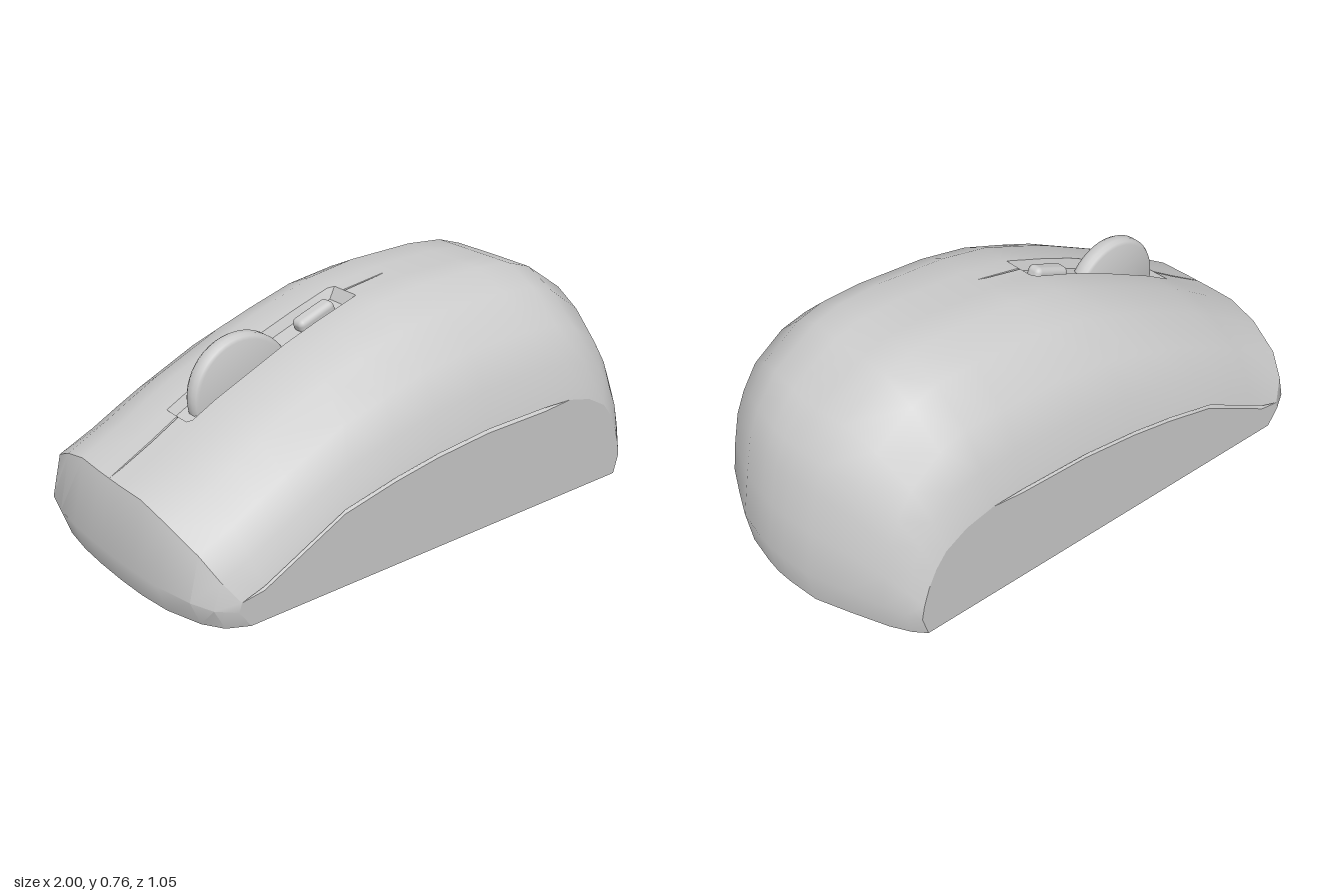
import * as THREE from 'three';
import { toCreasedNormals } from 'three/addons/utils/BufferGeometryUtils.js';
import { RoundedBoxGeometry } from 'three/addons/geometries/RoundedBoxGeometry.js';

const HALF = 0.525;
const material = new THREE.MeshStandardMaterial({ color: 0xcccccc });
const thin = new THREE.MeshStandardMaterial({ color: 0xcccccc, side: THREE.DoubleSide });

// Lengthwise stations, nose to tail: centre line x, y and matching side edge x, y
const STATIONS = [
  [-0.97, 0, -0.8, 0], [-1, 0.1, -0.84, 0.06], [-0.95, 0.32, -0.83, 0.09],
  [-0.8, 0.4, -0.75, 0.115], [-0.7, 0.457, -0.67, 0.155], [-0.6, 0.51, -0.58, 0.2],
  [-0.33, 0.63, -0.45, 0.265], [-0.2, 0.678, -0.25, 0.31], [-0.04, 0.731, -0.08, 0.338],
  [0.14, 0.758, 0.14, 0.36], [0.4, 0.765, 0.4, 0.363], [0.55, 0.752, 0.52, 0.359],
  [0.65, 0.72, 0.62, 0.335], [0.82, 0.61, 0.7, 0.29], [0.9, 0.5, 0.74, 0.24],
  [0.94, 0.41, 0.77, 0.18], [0.97, 0.27, 0.79, 0.12], [1, 0.12, 0.8, 0.07], [0.98, 0, 0.78, 0],
];
const LIP = 2, POCKET_START = 4, POCKET_END = 8, SEAM_END = 11;

// Crosswise columns: z, height blend, nose x blend, tail x blend (edge 0, centre 1)
const HALF_COLUMNS = [
  [HALF, 0, 0, 0], [0.49, 0.31, 0.4, 0.17], [0.425, 0.6, 0.65, 0.37], [0.3, 0.86, 0.88, 0.65],
  [0.18, 1, 0.97, 0.9], [0.065, 1, 1, 0.98], [0.004, 1, 1, 1],
];
const COLUMNS = [
  ...HALF_COLUMNS, [0, 1, 1, 1],
  ...HALF_COLUMNS.slice().reverse().map(([z, ...blends]) => [-z, ...blends]),
];

// Surface through a grid of points, leaving out the cells that skip() selects
function loft(rows, skip = () => false) {
  const width = rows[0].length, index = [];
  for (let r = 0; r < rows.length - 1; r++) {
    for (let c = 0; c < width - 1; c++) {
      if (skip(r, c)) continue;
      const a = r * width + c, b = a + width;
      index.push(a, b, a + 1, b, b + 1, a + 1);
    }
  }
  const geometry = new THREE.BufferGeometry();
  geometry.setAttribute('position', new THREE.Float32BufferAttribute(rows.flat(2), 3));
  geometry.setIndex(index);
  return toCreasedNormals(geometry, 0.6);
}

function add(parent, name, geometry, mat = material) {
  const mesh = new THREE.Mesh(geometry, mat);
  mesh.name = name;
  parent.add(mesh);
  return mesh;
}

function shellRow([cx, cy, ex, ey], i) {
  const seam = (i > LIP && i <= POCKET_START) || i === POCKET_END;
  return COLUMNS.map(([z, ty, nose, tail]) => {
    const tx = i <= 5 ? nose : i >= 12 ? tail : ty;
    const dip = seam && z === 0 ? 0.012 : 0;
    return [ex + (cx - ex) * tx, ey + (cy - ey) * ty - dip, z];
  });
}

// Height of the centre line over the pocket
function ridge(x) {
  const i = STATIONS.findIndex((s, k) => k > LIP && s[0] >= x);
  const [x0, y0] = STATIONS[i - 1], [x1, y1] = STATIONS[i];
  return THREE.MathUtils.mapLinear(x, x0, x1, y0, y1);
}

export function createModel() {
  const group = new THREE.Group();
  group.name = 'computerMouse';
  const rows = STATIONS.map(shellRow);

  // Nose and domed cover, with an opening for the wheel pocket
  add(group, 'nose', loft(rows.slice(0, LIP + 1)));
  add(group, 'topCover', loft(rows.slice(LIP), (r, c) => {
    const station = r + LIP;
    return station >= POCKET_START && station < POCKET_END && Math.abs(c + 0.5 - 7) < 2;
  }));

  // Flat base
  const outline = [...rows[0], ...rows[rows.length - 1].slice().reverse()];
  const base = new THREE.ShapeGeometry(new THREE.Shape(outline.map(([x, , z]) => new THREE.Vector2(x, z))));
  add(group, 'base', base.rotateX(Math.PI / 2), thin);

  // Flat side panels, each with a groove below the cover's edge
  const edge = STATIONS.map(s => [s[2], s[3]]);
  const panelEdge = edge.map(([x, y], i) => [x, i > LIP && i < SEAM_END ? y - 0.014 : y]);
  const panel = new THREE.ShapeGeometry(new THREE.Shape(panelEdge.map(p => new THREE.Vector2(...p))));
  panel.translate(0, 0, HALF);
  const grooveRows = edge.slice(LIP, SEAM_END + 1).map(([x, y], i) => {
    const low = panelEdge[i + LIP][1];
    return [[x, low, HALF], [x, (y + low) / 2, HALF - 0.02], [x, y, HALF]];
  });
  const groove = loft(grooveRows);
  for (const [side, sign] of [['left', 1], ['right', -1]]) {
    const half = new THREE.Group();
    half.name = side === 'left' ? 'frontSide' : 'backSide';
    add(half, 'sidePanel', panel, thin);
    add(half, 'sideGroove', groove, thin);
    half.scale.z = sign;
    group.add(half);
  }

  // Shallow pocket with sloping walls
  const pocketX = [-0.7, -0.685, -0.6, -0.33, -0.2, -0.06, -0.04];
  const pocketRows = pocketX.map((x, i) => {
    const depth = i === 0 || i === pocketX.length - 1 ? 0 : 0.035;
    return [[0.065, 0], [0.05, depth], [-0.05, depth], [-0.065, 0]].map(([z, d]) => [x, ridge(x) - d, z]);
  });
  add(group, 'wheelPocket', loft(pocketRows), thin);

  // Scroll wheel with a rounded rim
  const profile = [[0, -0.032], [0.172, -0.032], [0.183, -0.027], [0.19, -0.014],
    [0.19, 0.014], [0.183, 0.027], [0.172, 0.032], [0, 0.032]];
  const wheelGeometry = new THREE.LatheGeometry(profile.map(p => new THREE.Vector2(...p)), 48);
  const wheel = add(group, 'scrollWheel', toCreasedNormals(wheelGeometry, 0.7));
  wheel.rotation.x = Math.PI / 2;
  wheel.position.set(-0.465, 0.492, 0);

  // Small button behind the wheel
  const button = add(group, 'button', new RoundedBoxGeometry(0.15, 0.05, 0.06, 3, 0.02));
  button.rotation.z = 0.35;
  button.position.set(-0.165, 0.668, 0);

  return group;
}
